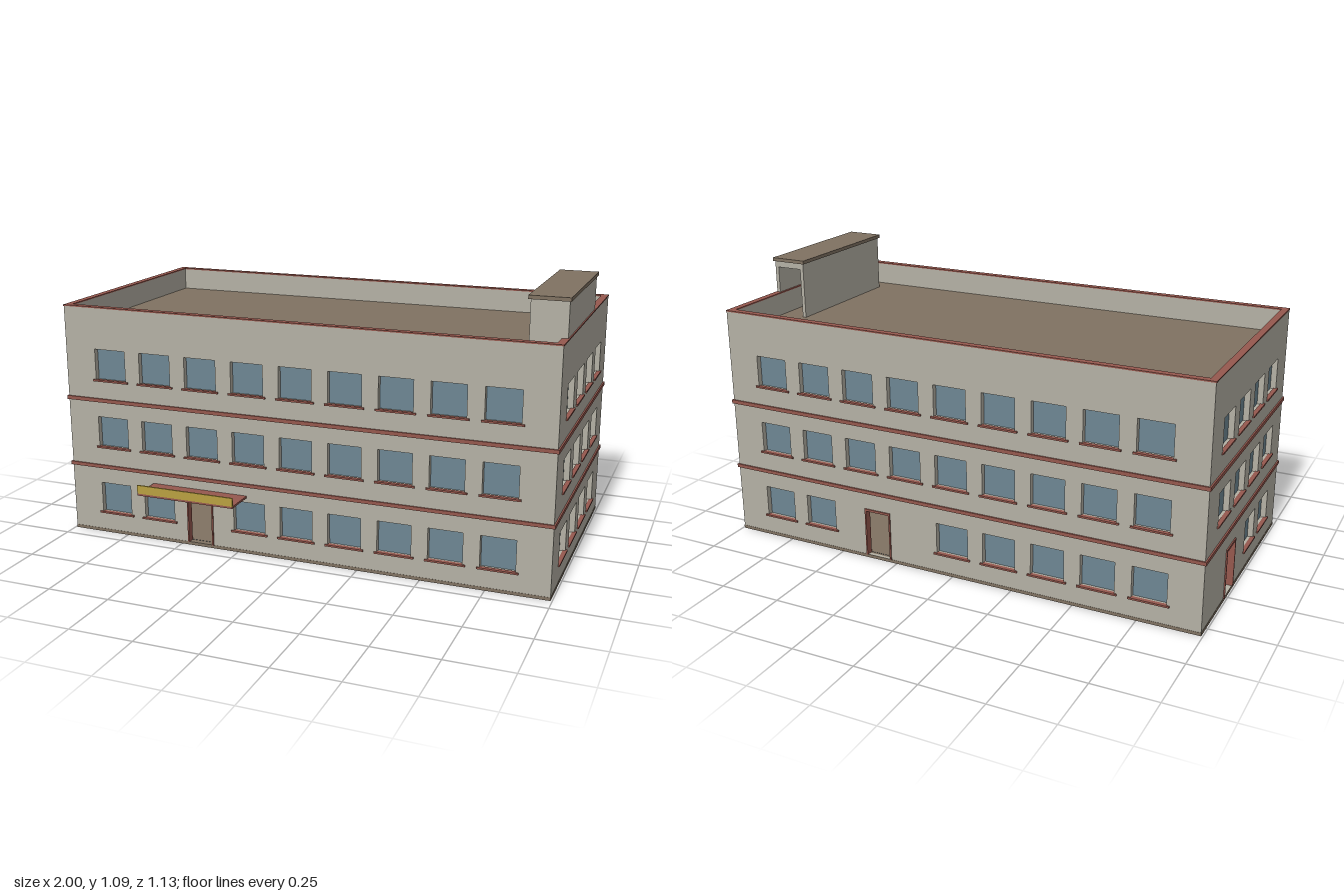
import * as THREE from 'three';

const mat = (name, color, side = THREE.FrontSide) => {
  const m = new THREE.MeshStandardMaterial({ color, side });
  m.name = name;
  return m;
};

export function createModel() {
  const plaster = mat('plaster', 0xb5b1a5);
  const brick = mat('brickRed', 0x96584e);
  const roofing = mat('roofBrown', 0x807262);
  const glass = mat('glassBlue', 0x6e8794, THREE.DoubleSide);
  const yellow = mat('signYellow', 0xb9a041);

  const HX = 0.993, HZ = 0.497, T = 0.024, TOP = 0.94, DECK = 0.85;
  const ROWS = [0.088, 0.369, 0.648], WIN_W = 0.134, WIN_H = 0.126;
  const DOOR_W = 0.108, DOOR_Y = 0.013, DOOR_TOP = 0.205;

  const model = new THREE.Group();
  model.name = 'building';
  const body = new THREE.Group();
  body.name = 'buildingBody';
  body.position.z = -0.06;
  model.add(body);

  // Box given by its min and max corners
  const box = (parent, name, m, [x0, y0, z0], [x1, y1, z1]) => {
    const mesh = new THREE.Mesh(new THREE.BoxGeometry(x1 - x0, y1 - y0, z1 - z0), m);
    mesh.position.set((x0 + x1) / 2, (y0 + y1) / 2, (z0 + z1) / 2);
    mesh.name = name;
    parent.add(mesh);
    return mesh;
  };
  const rect = (C, x0, y0, x1, y1) => new C([
    new THREE.Vector2(x0, y0), new THREE.Vector2(x1, y0),
    new THREE.Vector2(x1, y1), new THREE.Vector2(x0, y1),
  ]);

  // One facade: pierced wall, glazing sheet, sills and an optional framed door
  function facade(name, angle, distance, half, count, doorX, skipped) {
    const g = new THREE.Group();
    g.name = name;
    g.rotation.y = angle;
    body.add(g);
    const wall = rect(THREE.Shape, -half, 0.005, half, TOP);
    const pane = rect(THREE.Shape, -half + T, 0.014, half - T, DECK - 0.01);
    const z = distance;

    ROWS.forEach((y, row) => {
      for (let i = 0; i < count; i++) {
        if (row === 0 && skipped.includes(i)) continue;
        const x = (i - (count - 1) / 2) * 0.1987;
        wall.holes.push(rect(THREE.Path, x - WIN_W / 2, y, x + WIN_W / 2, y + WIN_H));
        box(g, 'windowSill', brick, [x - 0.078, y - 0.005, z - 0.01], [x + 0.078, y + 0.002, z + 0.007]);
      }
    });

    if (doorX !== null) {
      const a = doorX - DOOR_W / 2, b = doorX + DOOR_W / 2;
      wall.holes.push(rect(THREE.Path, a, DOOR_Y, b, DOOR_TOP));
      pane.holes.push(rect(THREE.Path, a, DOOR_Y + 0.002, b, DOOR_TOP));
      for (const x of [a, b]) {
        box(g, 'doorJamb', brick, [x - 0.003, DOOR_Y, z - T], [x + 0.003, DOOR_TOP, z + 0.005]);
      }
      box(g, 'doorLintel', brick, [a - 0.003, DOOR_TOP - 0.002, z - T], [b + 0.003, DOOR_TOP + 0.007, z + 0.005]);
    }

    const wallMesh = new THREE.Mesh(
      new THREE.ExtrudeGeometry(wall, { depth: T, bevelEnabled: false }), plaster);
    wallMesh.position.z = z - T;
    wallMesh.name = 'wall';
    const paneMesh = new THREE.Mesh(new THREE.ShapeGeometry(pane), glass);
    paneMesh.position.z = z - T + 0.002;
    paneMesh.name = 'windowGlass';
    g.add(wallMesh, paneMesh);
  }
  facade('frontFacade', 0, HZ, HX, 9, -0.413, [2]);
  facade('backFacade', Math.PI, HZ, HX, 9, -0.33, [2, 3]);
  facade('leftFacade', Math.PI / 2, HX, HZ - 0.0005, 4, null, []);
  facade('rightFacade', -Math.PI / 2, HX, HZ - 0.0005, 4, -0.17, [0, 1]);

  // Rectangular trim running around the walls
  function ring(name, y0, y1, out, inset) {
    const X = HX + out, Z = HZ + out, w = out + inset;
    for (const s of [-1, 1]) {
      const zs = [s * Z, s * (Z - w)].sort((a, b) => a - b);
      const xs = [s * X, s * (X - w)].sort((a, b) => a - b);
      box(body, name, brick, [-X, y0, zs[0]], [X, y1, zs[1]]);
      box(body, name, brick, [xs[0], y0, -Z + w], [xs[1], y1, Z - w]);
    }
  }
  ring('lowerBand', 0.278, 0.292, 0.006, 0.01);
  ring('upperBand', 0.557, 0.572, 0.006, 0.01);
  ring('parapetCoping', TOP, TOP + 0.005, 0.002, T + 0.002);

  // Base slab, inner floors and roof deck
  box(body, 'baseSlab', roofing, [-HX - 0.001, 0, -HZ - 0.001], [HX + 0.001, 0.013, HZ + 0.001]);
  const ix = HX - T, iz = HZ - T;
  for (const y of [0.285, 0.565, DECK]) {
    box(body, y === DECK ? 'roofDeck' : 'innerFloor', roofing, [-ix, y - 0.012, -iz], [ix, y, iz]);
  }

  // Entrance canopy with its sign board
  box(model, 'canopySlab', brick, [-0.62, 0.233, 0.43], [-0.208, 0.241, 0.565]);
  box(model, 'canopySign', yellow, [-0.62, 0.241, 0.558], [-0.208, 0.275, 0.565]);

  // Rooftop stair house, open at its back end
  const house = new THREE.Group();
  house.name = 'stairHouse';
  model.add(house);
  const [x0, x1, z0, z1, h] = [0.853, 0.99, -0.231, 0.338, 1.076], t = 0.015;
  box(house, 'innerWall', plaster, [x0, DECK, z0], [x0 + t, h, z1]);
  box(house, 'outerWall', plaster, [x1 - t, DECK, z0], [x1, h, z1]);
  box(house, 'frontWall', plaster, [x0 + t, DECK, z1 - t], [x1 - t, h, z1]);
  box(house, 'doorHeader', plaster, [x0 + t, h - 0.025, z0], [x1 - t, h, z0 + t]);
  box(house, 'stairHouseRoof', roofing, [x0 - 0.008, h, z0 - 0.007], [x1 + 0.006, 1.09, z1 + 0.007]);

  return model;
}
